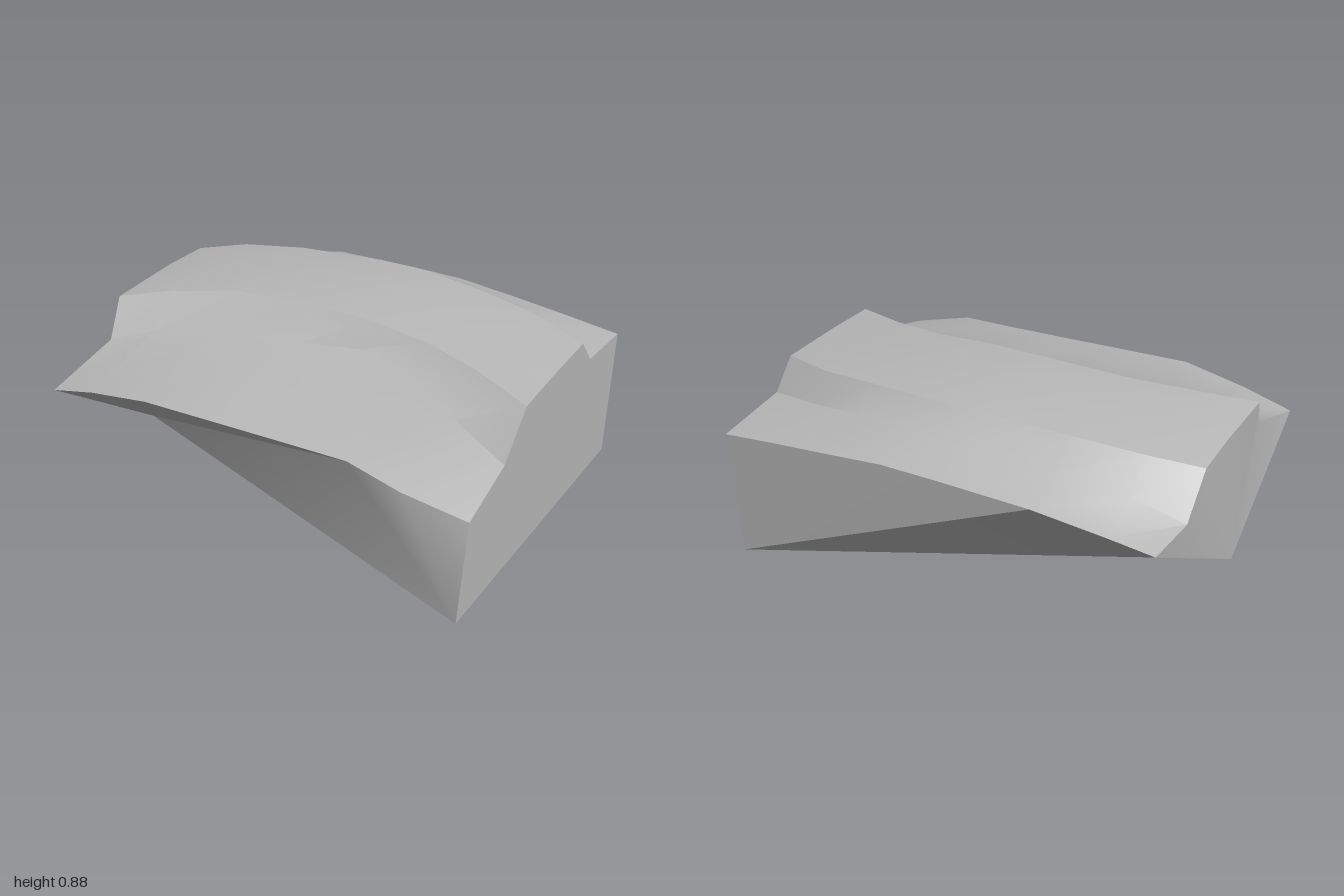
import * as THREE from 'three';
import { toCreasedNormals } from 'three/addons/utils/BufferGeometryUtils.js';

// Each row runs right to left (x from -1 to 1); entries are [z, y] per station.
const STATIONS = [-1, -0.77, -0.47, -0.07, 0.2, 0.47, 0.73, 1];
const ROWS = [
  // front lip
  [[0.75, 0.5], [0.76, 0.56], [0.775, 0.615], [0.755, 0.615], [0.742, 0.615], [0.73, 0.615], [0.775, 0.59], [0.74, 0.53]],
  // front valley
  [[0.4, 0.6], [0.32, 0.66], [0.25, 0.7], [0.2, 0.735], [0.15, 0.755], [0.21, 0.72], [0.33, 0.67], [0.44, 0.61]],
  // front ridge
  [[0.28, 0.76], [0.18, 0.8], [0.09, 0.835], [0.065, 0.855], [0.07, 0.855], [0.085, 0.835], [0.15, 0.81], [0.26, 0.78]],
  // crown
  [[-0.1, 0.77], [-0.2, 0.812], [-0.2, 0.85], [-0.2, 0.875], [-0.2, 0.867], [-0.2, 0.852], [-0.15, 0.825], [0, 0.785]],
  // back ridge
  [[-0.34, 0.76], [-0.42, 0.8], [-0.47, 0.83], [-0.5, 0.85], [-0.5, 0.85], [-0.47, 0.835], [-0.43, 0.81], [-0.33, 0.78]],
  // back valley
  [[-0.51, 0.6], [-0.55, 0.68], [-0.59, 0.73], [-0.6, 0.76], [-0.6, 0.76], [-0.57, 0.73], [-0.52, 0.69], [-0.45, 0.65]],
  // back lip
  [[-0.74, 0.58], [-0.765, 0.62], [-0.81, 0.68], [-0.815, 0.69], [-0.815, 0.69], [-0.815, 0.665], [-0.81, 0.64], [-0.805, 0.61]],
];
// Small inward steps of the right end, one per row
const RIGHT_END_X = [-1, -0.96, -0.99, -0.99, -0.99, -0.99, -0.96];

export function createModel() {
  const group = new THREE.Group();
  group.name = 'fragment';
  const stone = new THREE.MeshStandardMaterial({ color: 0xb8b8b8 });
  stone.name = 'plain grey';

  const p = ROWS.map((row, j) => row.map(([z, y], i) => [i === 0 ? RIGHT_END_X[j] : STATIONS[i], y, z]));
  const last = STATIONS.length - 1;
  const front = p[0], back = p[p.length - 1];

  // The three points the body narrows down to
  const footFront = [1, 0.1, 0.81];
  const footBack = [1, 0, -0.78];
  const footRight = [-0.98, 0.045, 0.13];

  function addPart(name, triangles) {
    const geometry = new THREE.BufferGeometry();
    geometry.setAttribute('position', new THREE.Float32BufferAttribute(triangles.flat(2), 3));
    const mesh = new THREE.Mesh(toCreasedNormals(geometry, 0.6), stone);
    mesh.name = name;
    group.add(mesh);
  }
  const fan = (centre, points) => points.slice(1).map((b, k) => [centre, points[k], b]);

  // Arched top skin
  const top = [];
  for (let j = 0; j < p.length - 1; j++) {
    for (let i = 0; i < last; i++) {
      const a = p[j][i], b = p[j][i + 1], c = p[j + 1][i + 1], d = p[j + 1][i];
      top.push([a, b, c], [a, c, d]);
    }
  }
  addPart('archedTop', top);

  // Front face: a large undercut facet and a smaller one at the left corner
  addPart('frontUndercut', fan(footRight, front.slice(0, 6).reverse()));
  addPart('frontFacet', [
    [footRight, footFront, front[5]],
    ...fan(footFront, front.slice(5).reverse()),
  ]);

  // Back face
  addPart('backFacet', fan(footBack, back.slice(2)));
  addPart('backUndercut', [
    [footBack, footRight, back[2]],
    ...fan(footRight, back.slice(0, 3)),
  ]);

  // End faces and underside
  addPart('leftEnd', fan(footBack, [...p.map((row) => row[last]).reverse(), footFront]));
  addPart('rightEnd', fan(footRight, p.map((row) => row[0])));
  addPart('underside', [[footFront, footRight, footBack]]);

  return group;
}
